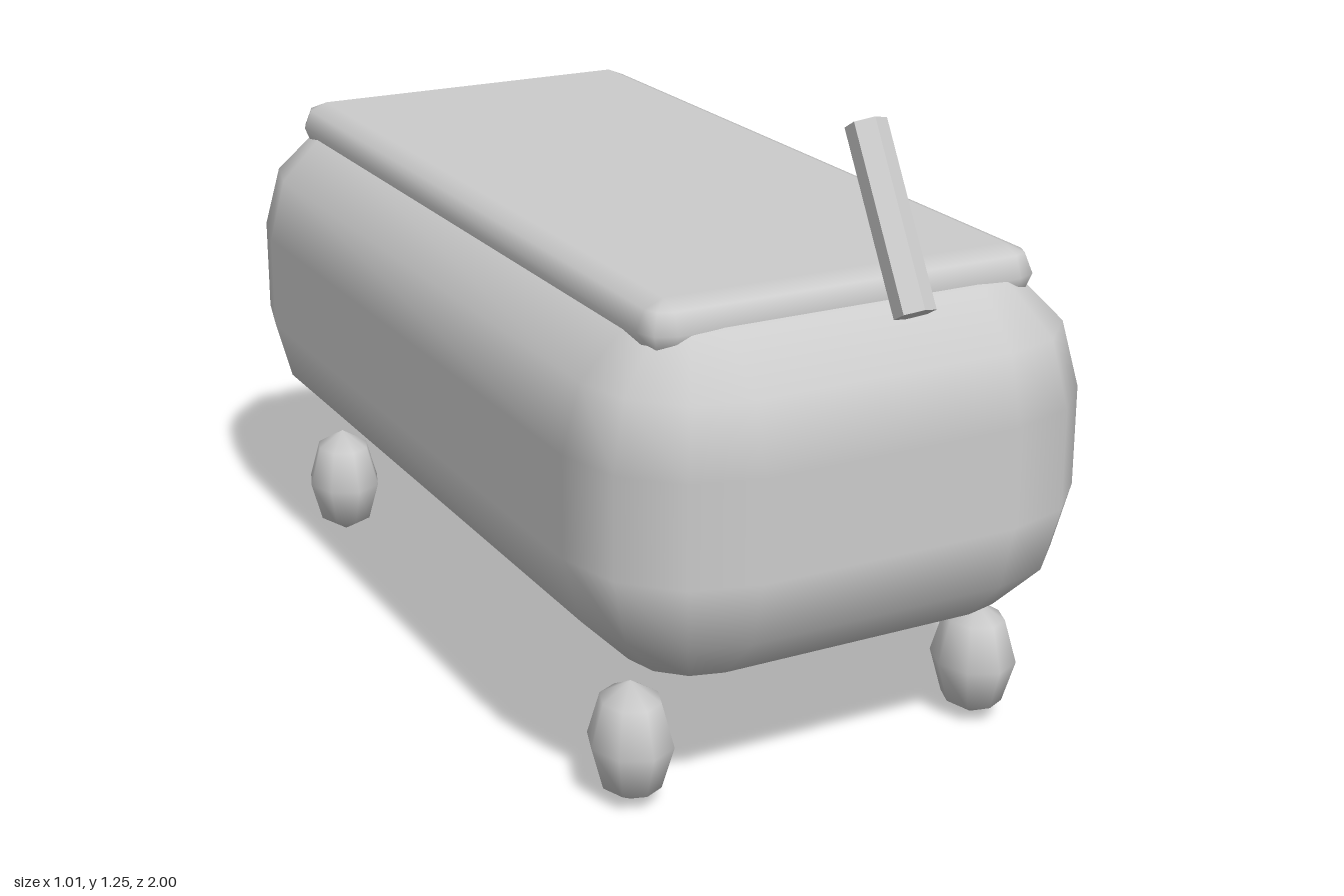
import * as THREE from 'three';

// Box with rounded edges and corners; n facets per quarter turn, smooth normals
function roundedBox(w, h, d, r, n) {
  const pos = [], nor = [], idx = [];
  const arc = (k) => (k / n) * Math.PI / 2;
  const cols = 4 * (n + 1), rows = 2 * (n + 1);
  for (let i = 0; i < rows; i++) {
    const up = i <= n ? 1 : -1;
    const phi = up > 0 ? Math.PI / 2 - arc(i) : -arc(i - n - 1);
    for (let j = 0; j < cols; j++) {
      const q = Math.floor(j / (n + 1));
      const theta = q * Math.PI / 2 + arc(j % (n + 1));
      const sx = q === 0 || q === 3 ? 1 : -1, sz = q < 2 ? 1 : -1;
      const nx = Math.cos(phi) * Math.cos(theta), ny = Math.sin(phi), nz = Math.cos(phi) * Math.sin(theta);
      pos.push(sx * (w / 2 - r) + nx * r, up * (h / 2 - r) + ny * r, sz * (d / 2 - r) + nz * r);
      nor.push(nx, ny, nz);
      if (i < rows - 1) {
        const a = i * cols + j, b = i * cols + (j + 1) % cols;
        idx.push(a, b, a + cols, b, b + cols, a + cols);
      }
    }
  }
  // flat top and bottom
  const t = [0, 1, 2, 3].map((q) => q * (n + 1));
  const u = t.map((k) => k + (rows - 1) * cols);
  idx.push(t[0], t[2], t[1], t[0], t[3], t[2], u[0], u[1], u[2], u[0], u[2], u[3]);
  const g = new THREE.BufferGeometry();
  g.setAttribute('position', new THREE.Float32BufferAttribute(pos, 3));
  g.setAttribute('normal', new THREE.Float32BufferAttribute(nor, 3));
  g.setIndex(idx);
  return g;
}

export function createModel() {
  const group = new THREE.Group();
  const grey = new THREE.MeshStandardMaterial({ color: 0xcccccc });
  grey.name = 'light grey';

  const add = (name, geometry, x, y, z) => {
    const mesh = new THREE.Mesh(geometry, grey);
    mesh.name = name;
    mesh.position.set(x, y, z);
    group.add(mesh);
    return mesh;
  };

  // Main body and the thin lid pressed into its top
  add('body', roundedBox(1.01, 0.69, 1.93, 0.25, 3), 0, 0.6, -0.035);
  add('lid', roundedBox(0.79, 0.105, 1.655, 0.052, 2), 0, 0.914, -0.037);

  // Tilted six-sided handle, with faceted sides
  const handleShape = new THREE.CylinderGeometry(0.033, 0.033, 0.332, 6).toNonIndexed();
  handleShape.scale(1.13, 1, 1);
  handleShape.computeVertexNormals();
  const handle = add('handle', handleShape, 0, 1.096, 0.889);
  handle.rotation.x = -Math.PI / 6;

  // Four egg-shaped feet
  const foot = new THREE.SphereGeometry(1, 8, 4);
  foot.scale(0.078, 0.118, 0.09);
  for (const [end, z] of [['front', 0.665], ['back', -0.73]]) {
    for (const [side, x] of [['Left', 0.368], ['Right', -0.368]]) {
      add(`${end}${side}Foot`, foot, x, 0.12, z);
    }
  }
  return group;
}
